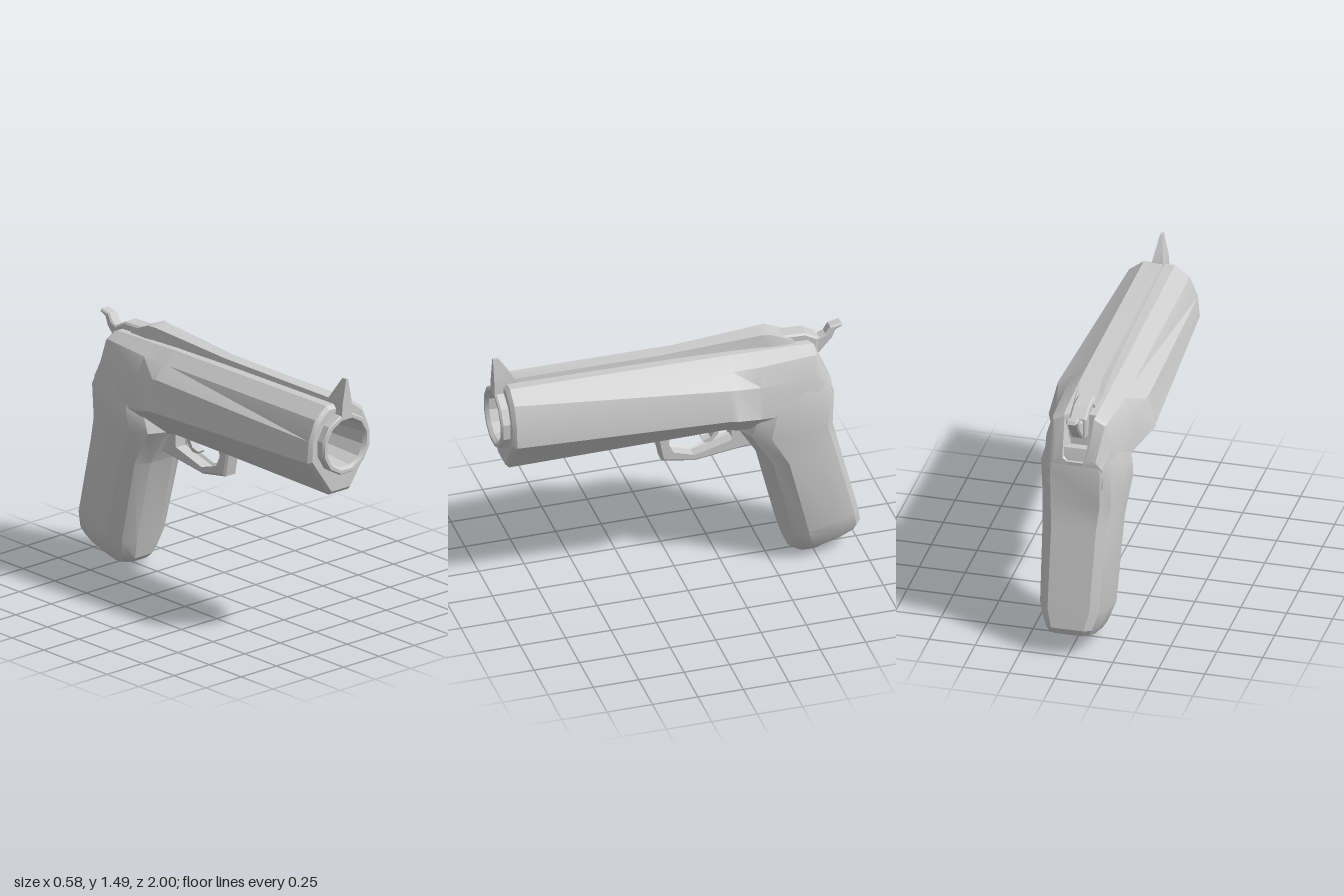
import * as THREE from 'three';
import { toCreasedNormals } from 'three/addons/utils/BufferGeometryUtils.js';

const material = new THREE.MeshStandardMaterial({ color: 0xcccccc, side: THREE.DoubleSide });

function part(name, geometry, crease = 0.45) {
  const g = geometry.index ? geometry.toNonIndexed() : geometry;
  const mesh = new THREE.Mesh(toCreasedNormals(g, crease), material);
  mesh.name = name;
  return mesh;
}

// Closed ring from the +x half of a symmetric section
const mirrorRing = (half) => [
  ...half,
  ...half.slice().reverse().map(([x, y, z]) => [-x, y, z]),
];

// Skin a row of equal rings, capping the ends when asked
function loft(rings, capStart = true, capEnd = true) {
  const n = rings[0].length;
  const tris = [];
  for (let i = 0; i < rings.length - 1; i++) {
    for (let j = 0; j < n; j++) {
      const k = (j + 1) % n;
      const [a, b, c, d] = [rings[i][j], rings[i][k], rings[i + 1][k], rings[i + 1][j]];
      tris.push([a, b, c], [a, c, d]);
    }
  }
  const cap = (ring, flip) => {
    const mid = [0, 1, 2].map((q) => ring.reduce((s, p) => s + p[q], 0) / n);
    ring.forEach((p, j) => {
      const next = ring[(j + 1) % n];
      tris.push(flip ? [mid, next, p] : [mid, p, next]);
    });
  };
  if (capStart) cap(rings[0], true);
  if (capEnd) cap(rings[rings.length - 1], false);
  // Turn the faces outward if the enclosed volume comes out negative
  const v = (p) => new THREE.Vector3(...p);
  const volume = tris.reduce((s, [a, b, c]) => s + v(a).dot(v(b).cross(v(c))), 0);
  if (volume < 0) tris.forEach((t) => t.reverse());
  const g = new THREE.BufferGeometry();
  g.setAttribute('position', new THREE.Float32BufferAttribute(tris.flat(2), 3));
  return g;
}

// Side outline given as [z, y], extruded across x
function sidePlate(outline, width, hole, bevel = 0) {
  const toPoints = (pts) => pts.map(([z, y]) => new THREE.Vector2(z, y));
  const shape = new THREE.Shape(toPoints(outline));
  if (hole) shape.holes.push(new THREE.Path(toPoints(hole)));
  const depth = width - 2 * bevel;
  const g = new THREE.ExtrudeGeometry(shape, {
    depth, bevelEnabled: bevel > 0, bevelSize: bevel, bevelOffset: -bevel,
    bevelThickness: bevel, bevelSegments: 1,
  });
  return g.translate(0, 0, -depth / 2).rotateY(-Math.PI / 2);
}

export function createModel() {
  const group = new THREE.Group();
  const boreY = 1.125;

  // Body: half sections from the top centre round to the underside
  const sections = [
    [0.95, [[0.03, 1.32], [0.08, 1.32], [0.15, 1.265], [0.195, 1.165], [0.2, 1.055], [0.065, 0.86]]],
    [0.93, [[0.03, 1.34], [0.085, 1.34], [0.165, 1.28], [0.21, 1.17], [0.22, 1.05], [0.07, 0.84]]],
    [-0.23, [[0.04, 1.33], [0.09, 1.33], [0.165, 1.27], [0.25, 1.21], [0.285, 1.04], [0.07, 0.85]]],
    [-0.27, [[0.04, 1.33], [0.09, 1.33], [0.165, 1.27], [0.24, 1.2], [0.29, 1.035], [0.07, 0.85]]],
    [-0.42, [[0.045, 1.325], [0.09, 1.325], [0.165, 1.27], [0.21, 1.17], [0.222, 0.98], [0.09, 0.82]]],
    [-0.72, [[0.045, 1.315], [0.085, 1.315], [0.15, 1.28], [0.185, 1.17], [0.2, 0.96], [0.1, 0.82]]],
    [-0.745, [[0.045, 1.13], [0.08, 1.305], [0.14, 1.27], [0.18, 1.16], [0.195, 0.96], [0.1, 0.82]]],
    [-0.83, [[0.045, 1.08], [0.07, 1.1], [0.11, 1.09], [0.145, 1.05], [0.15, 0.95], [0.11, 0.84]]],
  ];
  const bodyRings = sections.map(([z, half]) => mirrorRing(half.map(([x, y]) => [x, y, z])));
  group.add(part('body', loft(bodyRings, false, true)));

  // Flat nose of the body, pierced for the muzzle
  const nose = new THREE.Shape(bodyRings[0].map(([x, y]) => new THREE.Vector2(x, y)));
  nose.holes.push(new THREE.Path().absarc(0, boreY, 0.15, 0, Math.PI * 2, true));
  group.add(part('bodyNose', new THREE.ShapeGeometry(nose, 6).translate(0, 0, 0.95)));

  // Muzzle ring and tapering bore
  const muzzleProfile = [[0.17, 0.9], [0.17, 0.99], [0.163, 1], [0.145, 1], [0.132, 0.98], [0.075, 0.3], [0, 0.3]];
  const muzzle = new THREE.LatheGeometry(
    muzzleProfile.map(([r, h]) => new THREE.Vector2(r, h)), 12, Math.PI / 12);
  muzzle.rotateX(Math.PI / 2).translate(0, boreY, 0);
  group.add(part('muzzle', muzzle));

  // Top rib: z, top height, half width
  const ribRings = [
    [0.92, 1.35, 0.025], [0.88, 1.362, 0.028], [0.08, 1.362, 0.035],
    [-0.46, 1.392, 0.05], [-0.51, 1.392, 0.058], [-0.64, 1.335, 0.055],
  ].map(([z, y, w]) => mirrorRing([[w, y, z], [w + 0.015, 1.29, z]]));
  group.add(part('topRib', loft(ribRings)));

  // Front sight: height, half width, front z, back z
  const sightRings = [
    [1.27, 0.038, 1, 0.86], [1.36, 0.032, 1, 0.885], [1.43, 0.018, 1, 0.93], [1.49, 0.007, 1, 0.97],
  ].map(([y, w, front, back]) => mirrorRing([[w, y, front], [w, y, back]]));
  group.add(part('frontSight', loft(sightRings)));

  // Hammer and its housing
  group.add(part('hammerHousing', sidePlate(
    [[-0.58, 1.28], [-0.58, 1.36], [-0.71, 1.355], [-0.78, 1.315], [-0.78, 1.2], [-0.7, 1.2]], 0.095, null, 0.01)));
  group.add(part('hammer', sidePlate(
    [[-0.74, 1.33], [-0.79, 1.305], [-0.825, 1.32], [-0.85, 1.36], [-0.91, 1.372],
      [-0.922, 1.355], [-0.88, 1.335], [-0.862, 1.29], [-0.79, 1.21], [-0.74, 1.22]], 0.06, null, 0.008)));

  // Grip: front z, front y, back z, back y, half width
  const gripRings = [
    [-0.42, 1.1, -0.8, 1.15, 0.185],
    [-0.36, 0.93, -0.84, 1.03, 0.225],
    [-0.33, 0.85, -0.832, 0.83, 0.222],
    [-0.46, 0.64, -0.865, 0.7, 0.203],
    [-0.575, 0.17, -0.975, 0.265, 0.188],
    [-0.607, 0.06, -0.997, 0.165, 0.148],
    [-0.64, 0.03, -0.98, 0.125, 0.125],
    [-0.72, 0.003, -0.88, 0.075, 0.075],
  ].map(([zf, yf, zb, yb, w]) => mirrorRing(
    [[0.4, 0], [0.8, 0.09], [1, 0.28], [0.98, 0.7], [0.84, 0.92], [0.6, 1]].map(
      ([s, t]) => [s * w, yf + (yb - yf) * t, zf + (zb - zf) * t])));
  group.add(part('grip', loft(gripRings)));

  // Trigger guard loop and trigger
  group.add(part('triggerGuard', sidePlate(
    [[0.11, 0.86], [0.08, 0.7], [-0.1, 0.668], [-0.42, 0.71], [-0.42, 0.86]], 0.09,
    [[0.05, 0.845], [0.055, 0.8], [0.025, 0.735], [-0.1, 0.695], [-0.315, 0.755], [-0.315, 0.845]], 0.012)));
  group.add(part('trigger', sidePlate(
    [[-0.2, 0.87], [-0.215, 0.82], [-0.195, 0.785], [-0.15, 0.772],
      [-0.16, 0.76], [-0.2, 0.762], [-0.235, 0.8], [-0.25, 0.87]], 0.045)));

  return group;
}
